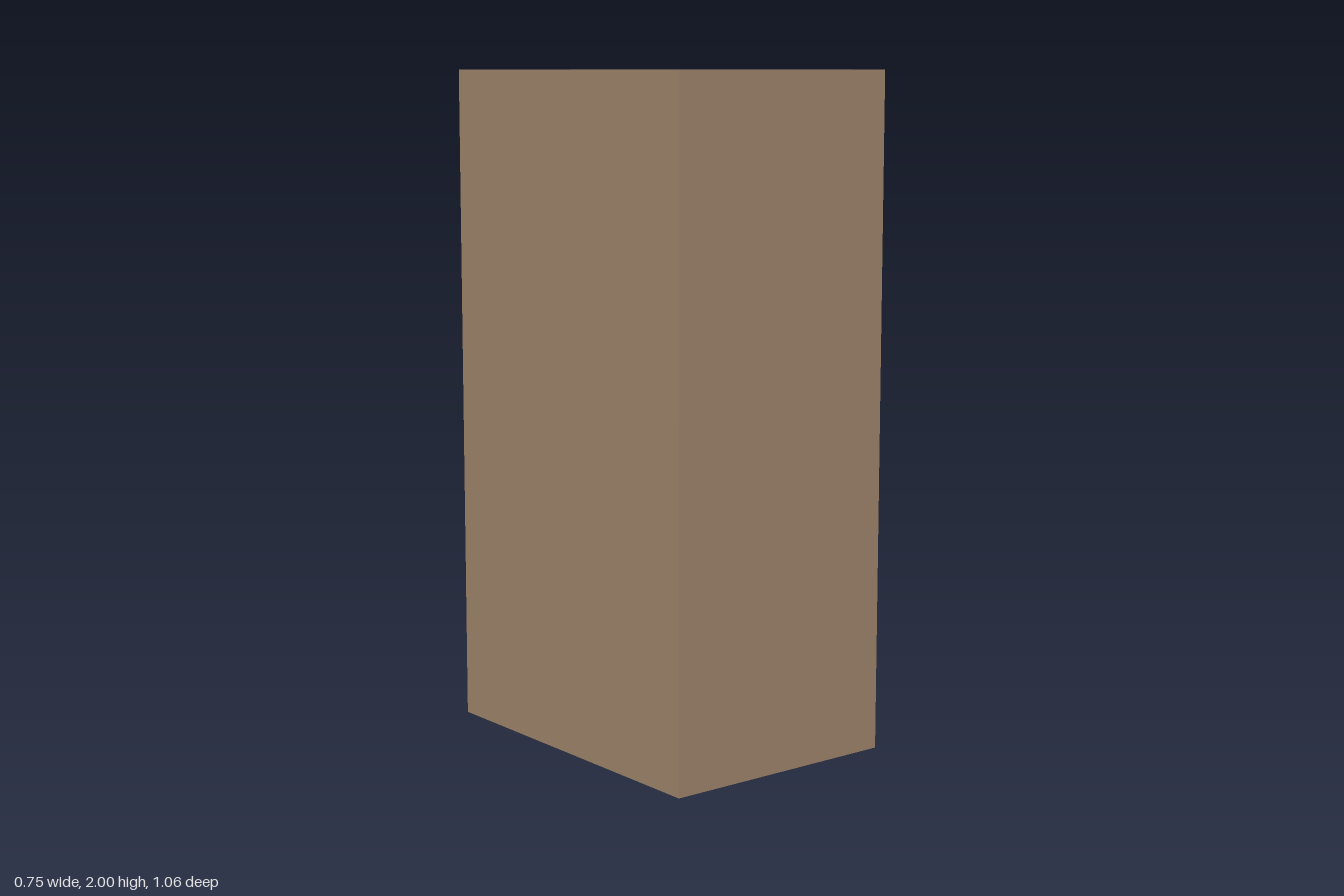
import * as THREE from 'three';

const material = (name, color) => {
  const m = new THREE.MeshStandardMaterial({ color });
  m.name = name;
  return m;
};

export function createModel() {
  const model = new THREE.Group();
  model.name = 'bookcase';

  const wood = material('wood', 0x9b8268);
  const colours = {
    b: material('blue', 0x6e8da8),
    t: material('teal', 0x77998f),
    r: material('red', 0xb28275),
    y: material('yellow', 0xb49d73),
    p: material('purple', 0x9589a2),
  };

  const add = (geometry, mat, name, parent = model) => {
    const mesh = new THREE.Mesh(geometry, mat);
    mesh.name = name;
    parent.add(mesh);
    return mesh;
  };

  const halfX = 0.375, halfZ = 0.532, height = 2;
  const nicheHalf = 0.437, nicheHeight = 0.348, nicheDepth = 0.34;
  const backX = halfX - nicheDepth;

  // Each shelf: floor height, then one colour and book height per slot, from +z to -z
  const shelves = [
    { floor: 0.175, books: 'btrypbtr', heights: [0.306, 0.275, 0.317, 0.306, 0.28, 0.333, 0.254, 0.306] },
    { floor: 0.608, books: 'pyrtbpyr', heights: [0.323, 0.276, 0.307, 0.323, 0.233, 0.312, 0.26, 0.307] },
    { floor: 1.132, books: 'rypbtryp', heights: [0.323, 0.308, 0.281, 0.258, 0.334, 0.308, 0.249, 0.308] },
    { floor: 1.566, books: ' tbpyrtb', heights: [0, 0.307, 0.234, 0.27, 0.254, 0.307, 0.307, 0.328] },
  ];

  // Shelf frame facing +x, with a rectangular niche per shelf
  const rect = (path, w, y0, y1) =>
    path.moveTo(-w, y0).lineTo(w, y0).lineTo(w, y1).lineTo(-w, y1).closePath();
  const face = new THREE.Shape();
  rect(face, halfZ, 0, height);
  for (const { floor } of shelves) {
    const hole = new THREE.Path();
    rect(hole, nicheHalf, floor, floor + nicheHeight);
    face.holes.push(hole);
  }
  const frame = new THREE.ExtrudeGeometry(face, { depth: nicheDepth, bevelEnabled: false });
  frame.rotateY(Math.PI / 2).translate(backX, 0, 0);
  add(frame, wood, 'shelfFrame');

  // Solid body closing the niches from behind
  const bodyWidth = backX + halfX;
  const body = new THREE.BoxGeometry(bodyWidth, height, halfZ * 2);
  body.translate(backX - bodyWidth / 2, height / 2, 0);
  add(body, wood, 'caseBody');

  // Books with chamfered spines, set back from the opening
  const slot = (nicheHalf * 2) / 8;
  const w = slot / 2 - 0.001, spineX = halfX - 0.08, chamfer = 0.014;
  const outline = new THREE.Shape([
    new THREE.Vector2(backX + 0.005, -w),
    new THREE.Vector2(spineX - chamfer, -w),
    new THREE.Vector2(spineX, -w + chamfer),
    new THREE.Vector2(spineX, w - chamfer),
    new THREE.Vector2(spineX - chamfer, w),
    new THREE.Vector2(backX + 0.005, w),
  ]);
  shelves.forEach(({ floor, books, heights }, row) => {
    const group = new THREE.Group();
    group.name = `bookRow${row + 1}`;
    model.add(group);
    heights.forEach((h, i) => {
      if (!h) return;
      const geometry = new THREE.ExtrudeGeometry(outline, { depth: h, bevelEnabled: false });
      geometry.rotateX(-Math.PI / 2);
      const book = add(geometry, colours[books[i]], 'book', group);
      book.position.set(0, floor, nicheHalf - (i + 0.5) * slot);
    });
  });

  return model;
}
